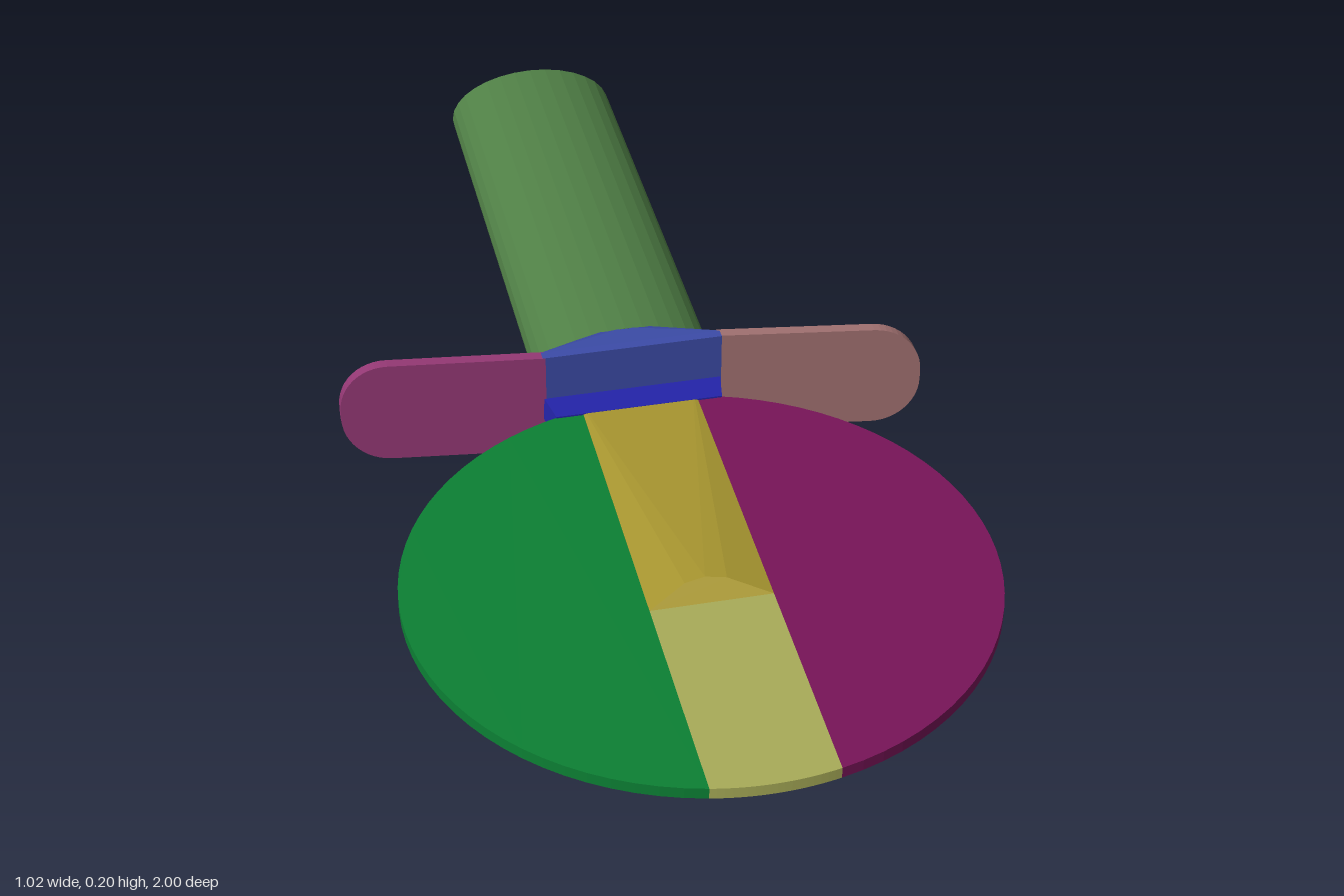
import * as THREE from 'three';
import { ConvexGeometry } from 'three/addons/geometries/ConvexGeometry.js';

const FLAT_Y = 0.1; // mid height of the disc

function add(group, name, geometry, color) {
  const material = new THREE.MeshStandardMaterial({ color, flatShading: true });
  const mesh = new THREE.Mesh(geometry, material);
  mesh.name = name;
  group.add(mesh);
  return mesh;
}

const hull = (points) => new ConvexGeometry(points.map((p) => new THREE.Vector3(...p)));

// Strip of a flat round disc between two x positions
function discSlice(x0, x1, r = 0.49, thickness = 0.02) {
  const a0 = Math.acos(Math.min(1, x1 / r));
  const a1 = Math.acos(Math.max(-1, x0 / r));
  const n = 18;
  const upper = [];
  for (let i = 0; i <= n; i++) {
    const a = a0 + ((a1 - a0) * i) / n;
    upper.push(new THREE.Vector2(r * Math.cos(a), r * Math.sin(a)));
  }
  const lower = upper.filter((p) => p.y > 1e-6).reverse()
    .map((p) => new THREE.Vector2(p.x, -p.y));
  const geometry = new THREE.ExtrudeGeometry(new THREE.Shape([...upper, ...lower]),
    { depth: thickness, bevelEnabled: false });
  return geometry.rotateX(Math.PI / 2).translate(0, FLAT_Y + thickness / 2, 0.51);
}

// Thin round-ended guard wing, sheared so that it leans in z
function wing(side, zInner, zOuter) {
  const inner = 0.155, outer = 0.512, rx = 0.085, ry = 0.09;
  const shape = new THREE.Shape();
  shape.moveTo(inner, 0);
  shape.lineTo(outer - rx, 0);
  shape.absellipse(outer - rx, ry, rx, ry, -Math.PI / 2, 0, false);
  shape.absellipse(outer - rx, 0.2 - ry, rx, ry, 0, Math.PI / 2, false);
  shape.lineTo(inner, 0.2);
  const geometry = new THREE.ExtrudeGeometry(shape,
    { depth: 0.02, bevelEnabled: false, curveSegments: 6 });
  geometry.translate(0, 0, -0.01);
  if (side < 0) geometry.rotateY(Math.PI).translate(0, 0, 0);
  const pos = geometry.attributes.position;
  for (let i = 0; i < pos.count; i++) {
    const t = (Math.abs(pos.getX(i)) - inner) / (outer - inner);
    pos.setZ(i, pos.getZ(i) + zInner + (zOuter - zInner) * t);
  }
  geometry.computeVertexNormals();
  return geometry;
}

// Half collar that blends the guard's rectangle into the oval grip
function collarHalf(sign) {
  const points = [];
  const edge = FLAT_Y + sign * 0.1;
  for (const x of [-0.16, 0.16]) {
    for (const y of [FLAT_Y, edge]) points.push([x, y, -0.012], [x, y, -0.03]);
  }
  for (let i = 0; i <= 12; i++) {
    const a = (Math.PI * i) / 12;
    points.push([0.16 * Math.cos(a), FLAT_Y + sign * 0.096 * Math.sin(a), -0.08]);
  }
  return hull(points);
}

export function createModel() {
  const model = new THREE.Group();
  model.name = 'paddle';

  // Disc in three strips
  const disc = new THREE.Group();
  disc.name = 'disc';
  model.add(disc);
  add(disc, 'discRight', discSlice(-0.49, -0.1), 0x0c8034);
  add(disc, 'discMiddle', discSlice(-0.1, 0.105), 0xa8ac58);
  add(disc, 'discLeft', discSlice(0.105, 0.49), 0x781458);

  // Raised ridge, flat at the guard and arched at its tip
  const ridge = [[-0.1, 0.083, 0.54], [0.105, 0.083, 0.54]];
  for (const x of [-0.1, 0.105]) ridge.push([x, 0.111, 0], [x, 0.09, 0], [x, 0.11, 0.578]);
  for (const [x, h] of [[-0.06, 0.011], [-0.035, 0.018], [0, 0.021], [0.035, 0.018], [0.06, 0.011]]) {
    ridge.push([x, 0.11 + h, 0.578 - h * 1.9]);
  }
  add(model, 'ridge', hull(ridge), 0xa89630);

  // Wedge-shaped tongue under the disc, with a gap towards the guard
  const tongue = [];
  for (const x of [-0.1, 0.103]) {
    for (const [z, y] of [[0.57, 0.084], [0.41, 0.037], [-0.02, 0.037], [-0.02, 0.059]]) {
      tongue.push([x, y, z]);
    }
  }
  add(model, 'lowerTongue', hull(tongue), 0x1c1c84);

  // Socket joining the disc to the guard
  const socket = [];
  for (const s of [-1, 1]) {
    socket.push([s * 0.16, 0.113, -0.02], [s * 0.16, 0.07, -0.02], [s * 0.16, 0.07, -0.005],
      [s * 0.148, 0.113, 0.045], [s * 0.148, 0.09, 0.045]);
  }
  add(model, 'socket', hull(socket), 0x2424aa);

  // Guard
  const guard = new THREE.Group();
  guard.name = 'guard';
  model.add(guard);
  add(guard, 'collarTop', collarHalf(1), 0x3c4ca8);
  add(guard, 'collarBottom', collarHalf(-1), 0x5c3888);
  add(guard, 'wingRight', wing(-1, -0.021, -0.066), 0x943874);
  add(guard, 'wingLeft', wing(1, -0.024, 0.03), 0xa07070);

  // Oval grip
  const grip = new THREE.CylinderGeometry(1, 1, 0.925, 32);
  grip.rotateX(Math.PI / 2).scale(0.16, 0.094, 1).translate(0, 0.103, -0.5375);
  add(model, 'grip', grip, 0x508046);

  return model;
}
